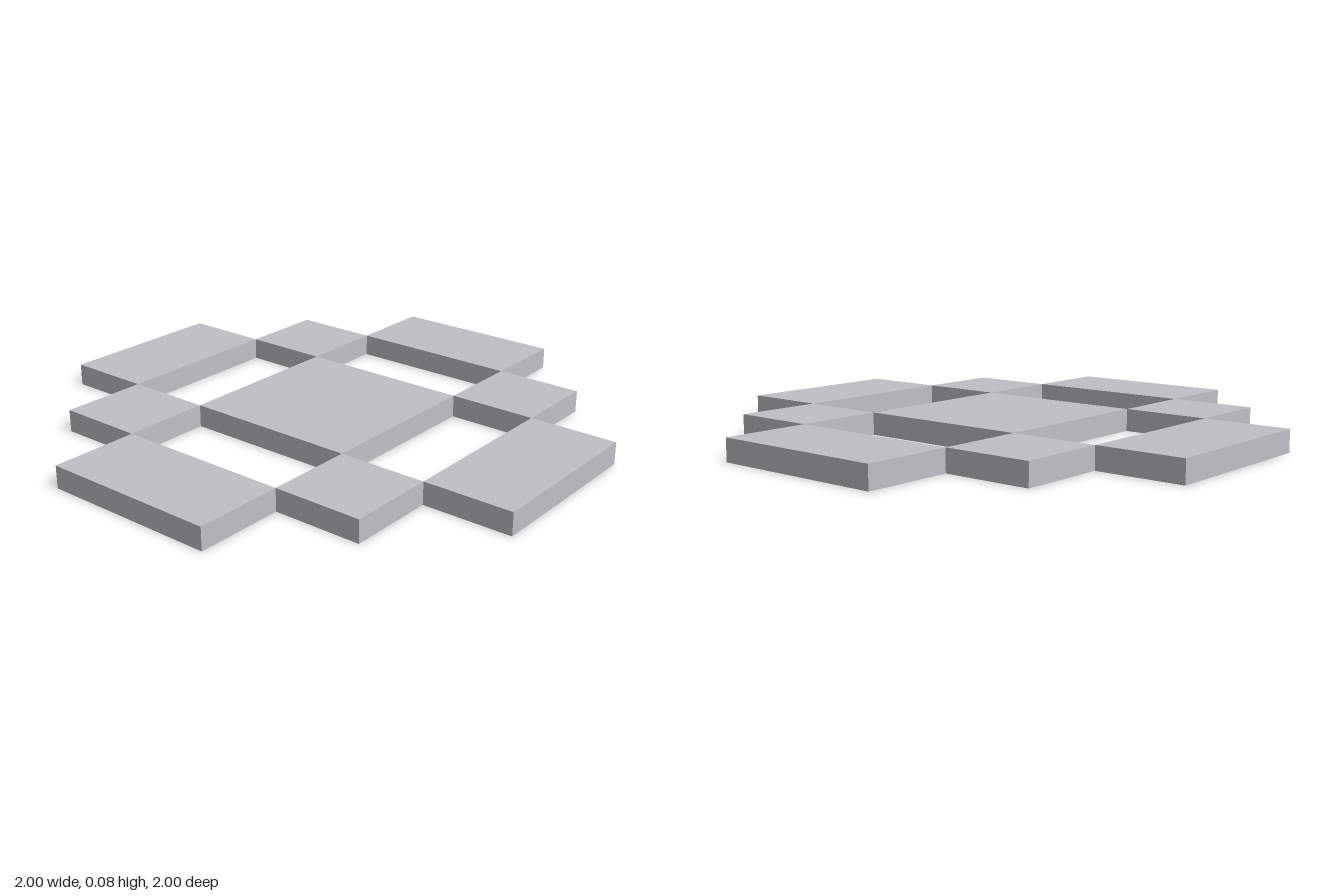
import * as THREE from 'three';

export function createModel() {
  const model = new THREE.Group();
  model.name = 'tilePattern';

  const grey = new THREE.MeshStandardMaterial({ color: 0xc0bfc5 });
  grey.name = 'light grey';

  const unit = 1 / 3;
  const height = 1 / 12;

  // A flat slab standing on y = 0; sizes and positions in grid units
  function addSlab(name, width, depth, x, z) {
    const slab = new THREE.Mesh(
      new THREE.BoxGeometry(width * unit, height, depth * unit), grey);
    slab.position.set(x * unit, height / 2, z * unit);
    slab.name = name;
    model.add(slab);
  }

  // Large square in the middle
  addSlab('centreSlab', 2, 2, 0, 0);

  for (const s of [-1, 1]) {
    // Outer slabs on the four sides
    addSlab(s > 0 ? 'leftSlab' : 'rightSlab', 1, 2, s * 2.5, 0);
    addSlab(s > 0 ? 'frontSlab' : 'backSlab', 2, 1, 0, s * 2.5);

    // Small corner squares linking the slabs
    for (const t of [-1, 1]) {
      const name = (t > 0 ? 'front' : 'back') + (s > 0 ? 'Left' : 'Right') + 'Corner';
      addSlab(name, 1, 1, s * 1.5, t * 1.5);
    }
  }

  return model;
}
